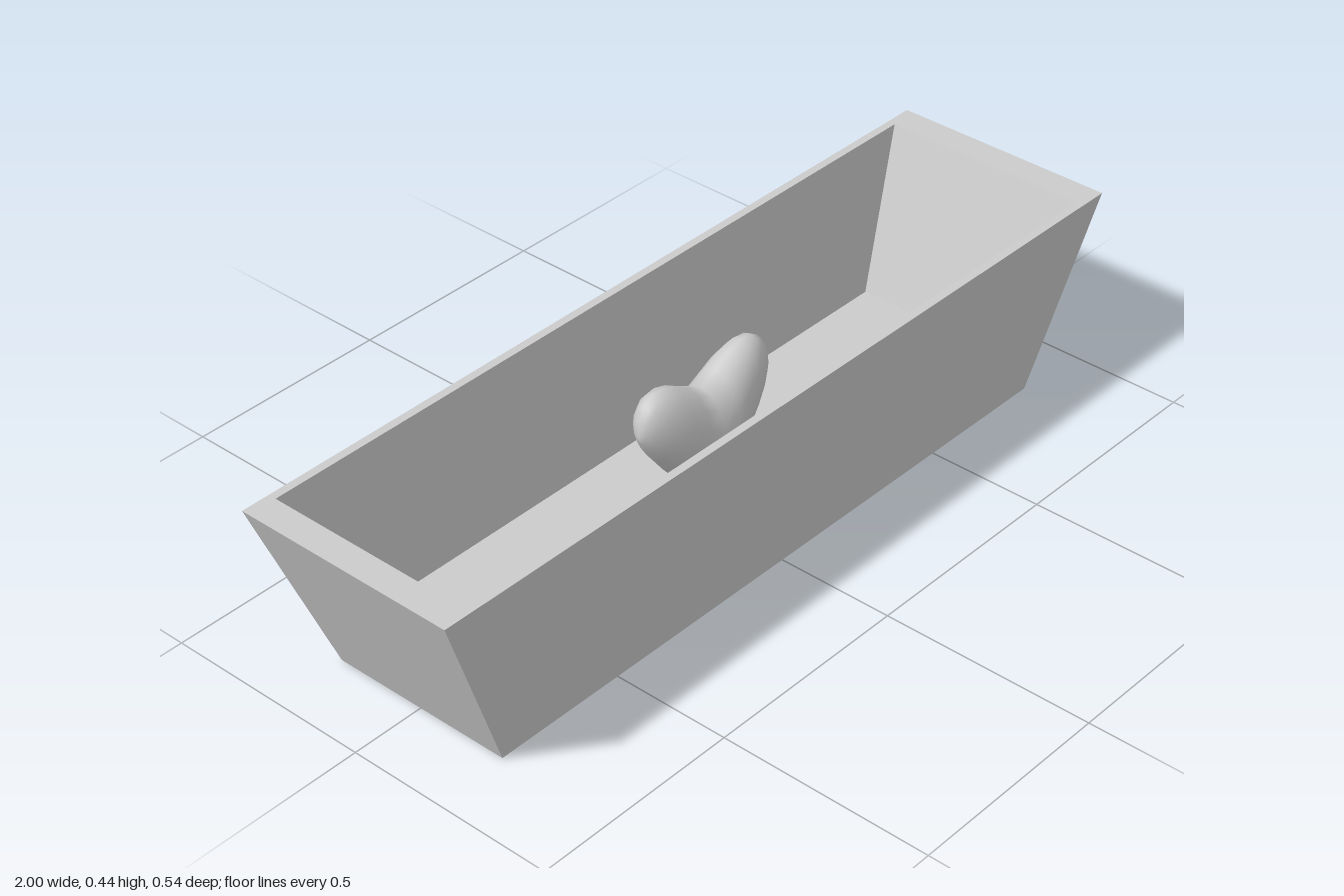
import * as THREE from 'three';
import { mergeVertices } from 'three/addons/utils/BufferGeometryUtils.js';

// Tapered open trough: rectangular rings from the base, up the outside, over the rim, down to the floor
function troughGeometry() {
  const rings = [ // half width, y, half depth
    [0.825, 0, 0.222],
    [1, 0.444, 0.269],
    [0.932, 0.444, 0.25],
    [0.805, 0.075, 0.217],
  ];
  const corners = [[1, 1], [1, -1], [-1, -1], [-1, 1]];
  const points = [];
  for (const [w, y, d] of rings) {
    for (const [sx, sz] of corners) points.push(sx * w, y, sz * d);
  }
  const index = [];
  const quad = (a, b, c, d) => index.push(a, b, c, a, c, d);
  for (let r = 0; r < rings.length - 1; r++) {
    for (let i = 0; i < 4; i++) {
      const j = (i + 1) % 4;
      quad(r * 4 + i, r * 4 + j, r * 4 + 4 + j, r * 4 + 4 + i);
    }
  }
  quad(3, 2, 1, 0); // underside
  quad(12, 13, 14, 15); // inner floor
  const indexed = new THREE.BufferGeometry();
  indexed.setAttribute('position', new THREE.Float32BufferAttribute(points, 3));
  indexed.setIndex(index);
  const geometry = indexed.toNonIndexed();
  geometry.computeVertexNormals();
  return geometry;
}

// Puffy heart: a sphere with its poles along x, elliptical slices lifted towards both ends
function heartGeometry() {
  const sphere = new THREE.SphereGeometry(1, 16, 14);
  sphere.deleteAttribute('uv');
  sphere.deleteAttribute('normal');
  const p = sphere.attributes.position;
  for (let i = 0; i < p.count; i++) {
    const s = p.getY(i), up = p.getZ(i), side = p.getX(i);
    const round = Math.sqrt(Math.max(0, 1 - s * s));
    const lift = 0.19 * (Math.sqrt(s * s + 0.01) - 0.1);
    // Lobes above and the tip below, both measured from the lifted centre line
    const top = 0.135 + 0.195 * round + lift;
    const bottom = 0.135 - 0.06 * round + lift;
    const slice = round > 1e-6 ? up / round : 0;
    p.setXYZ(i, 0.192 * s, (top + bottom) / 2 + slice * (top - bottom) / 2, 0.073 * side);
  }
  const geometry = mergeVertices(sphere, 1e-5);
  geometry.computeVertexNormals();
  return geometry;
}

export function createModel() {
  const group = new THREE.Group();
  const material = new THREE.MeshStandardMaterial({ color: 0xcccccc });

  const trough = new THREE.Mesh(troughGeometry(), material);
  trough.name = 'trough';
  group.add(trough);

  // Heart standing on the trough floor
  const heart = new THREE.Mesh(heartGeometry(), material);
  heart.name = 'heart';
  group.add(heart);

  return group;
}
